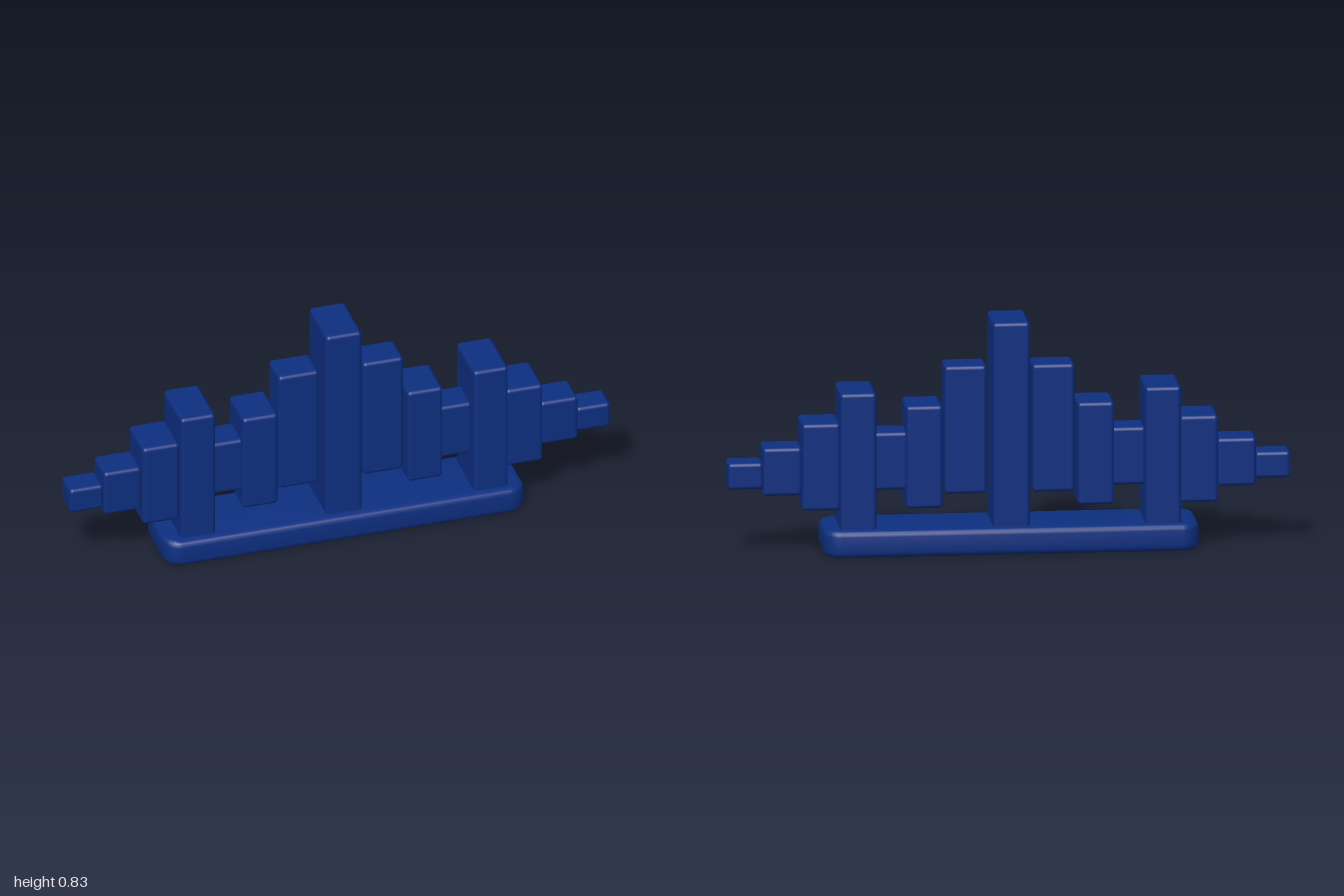
import * as THREE from 'three';
import { toCreasedNormals } from 'three/addons/utils/BufferGeometryUtils.js';
import { RoundedBoxGeometry } from 'three/addons/geometries/RoundedBoxGeometry.js';

const CENTRE = -0.002;

// Plinth with round plan corners and softly bevelled top and bottom edges
function plinthGeometry(width, height, depth, corner, bevel) {
  const w = width / 2 - bevel, d = depth / 2 - bevel, r = corner - bevel;
  const shape = new THREE.Shape();
  shape.absarc(w - r, d - r, r, 0, Math.PI / 2);
  shape.absarc(-w + r, d - r, r, Math.PI / 2, Math.PI);
  shape.absarc(-w + r, -d + r, r, Math.PI, Math.PI * 1.5);
  shape.absarc(w - r, -d + r, r, Math.PI * 1.5, Math.PI * 2);
  const geometry = new THREE.ExtrudeGeometry(shape, {
    depth: height - 2 * bevel, bevelThickness: bevel, bevelSize: bevel, bevelSegments: 4, curveSegments: 8,
  });
  geometry.rotateX(-Math.PI / 2).translate(0, bevel, 0);
  return toCreasedNormals(geometry, 0.6);
}

export function createModel() {
  const model = new THREE.Group();
  model.name = 'barSculpture';
  const blue = new THREE.MeshStandardMaterial({ color: 0x0d2f80 });
  blue.name = 'deep blue';

  const add = (name, geometry, x, y) => {
    const mesh = new THREE.Mesh(geometry, blue);
    mesh.name = name;
    mesh.position.set(x, y, 0);
    model.add(mesh);
  };
  const addBar = (name, x0, x1, y0, y1, depth) => add(
    name, new RoundedBoxGeometry(x1 - x0, y1 - y0, depth, 3, 0.014), (x0 + x1) / 2, (y0 + y1) / 2);

  add('plinth', plinthGeometry(1.334, 0.098, 0.287, 0.065, 0.022), CENTRE, 0);
  addBar('centrePost', CENTRE - 0.066, CENTRE + 0.066, 0.08, 0.835, 0.217);

  // Bars on each side: name, inner x, outer x, bottom, top, depth
  const bars = [
    ['tallBar', 0.081, 0.231, 0.208, 0.672, 0.13],
    ['middleBar', 0.24, 0.37, 0.163, 0.535, 0.174],
    ['shortBar', 0.36, 0.485, 0.228, 0.437, 0.128],
    ['sidePost', 0.478, 0.606, 0.08, 0.59, 0.217],
    ['wingBar', 0.604, 0.74, 0.163, 0.478, 0.174],
    ['smallWingBar', 0.738, 0.877, 0.215, 0.389, 0.13],
    ['tipBar', 0.875, 1, 0.238, 0.334, 0.106],
  ];
  for (const [name, inner, outer, bottom, top, depth] of bars) {
    addBar(name + 'Left', inner, outer, bottom, top, depth);
    addBar(name + 'Right', -outer, -inner, bottom, top, depth);
  }
  return model;
}
